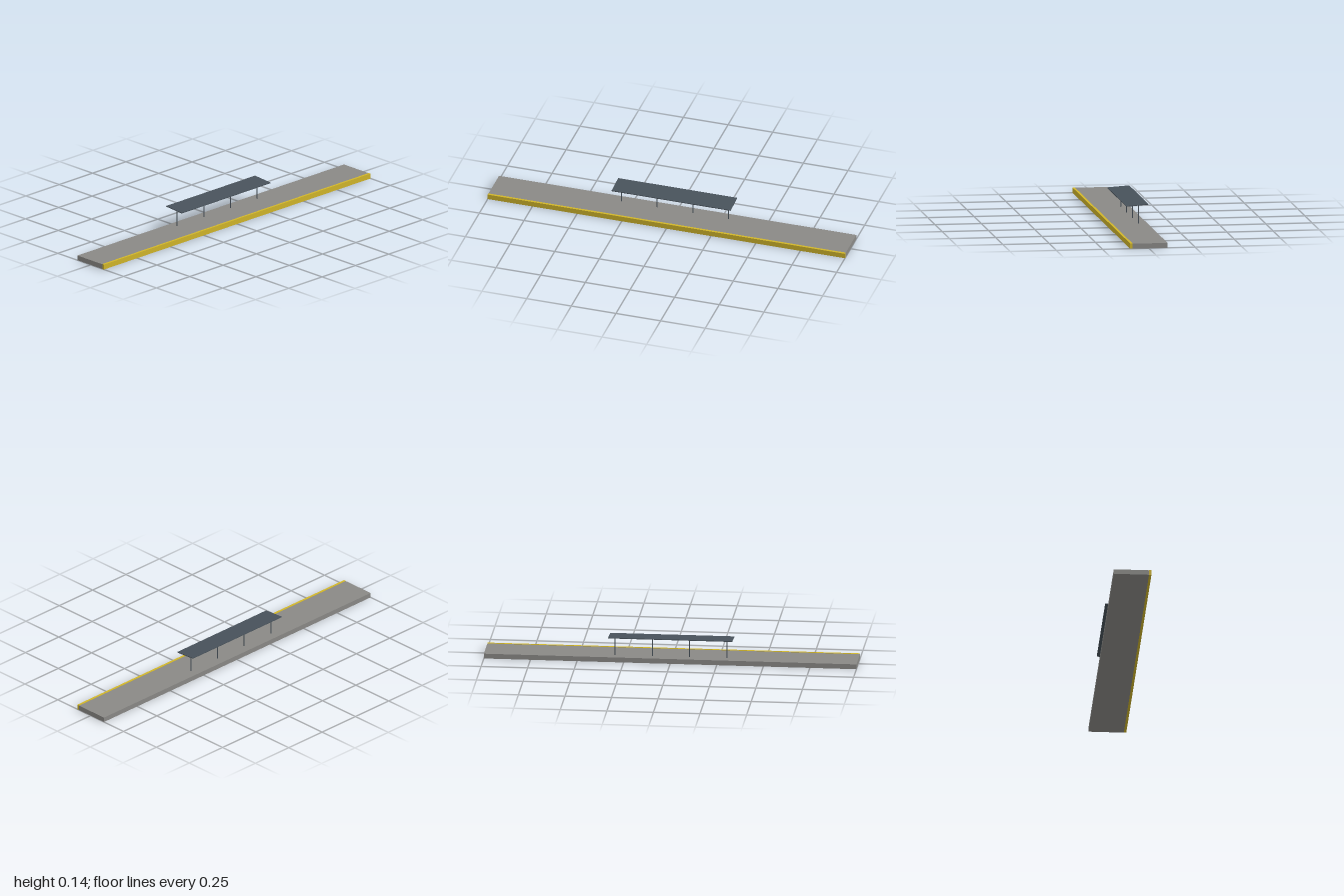
import * as THREE from 'three';

export function createModel() {
  const model = new THREE.Group();
  model.name = 'stationPlatform';

  const material = (name, color) => {
    const m = new THREE.MeshStandardMaterial({ color });
    m.name = name;
    return m;
  };
  const concrete = material('concrete grey', 0x8a8986);
  const yellow = material('safety yellow', 0xd0b52a);
  const steel = material('slate steel', 0x48525b);

  const add = (name, geometry, mat, x, y, z) => {
    const mesh = new THREE.Mesh(geometry, mat);
    mesh.name = name;
    mesh.position.set(x, y, z);
    model.add(mesh);
    return mesh;
  };

  // Long platform slab with a slightly raised safety edge along +x
  const edgeX = 0.088, slabTop = 0.0267, edgeTop = 0.028;
  add('platformSlab', new THREE.BoxGeometry(edgeX + 0.101, slabTop, 2), concrete,
    (edgeX - 0.101) / 2, slabTop / 2, 0);
  add('safetyEdge', new THREE.BoxGeometry(0.101 - edgeX, edgeTop, 2), yellow,
    (edgeX + 0.101) / 2, edgeTop / 2, 0);

  // Canopy roof, tilted down towards the safety edge
  const roof = add('canopyRoof', new THREE.BoxGeometry(0.119, 0.004, 0.666), steel,
    -0.0425, 0.13, 0);
  roof.rotation.z = -0.07;

  // Row of four slim posts
  const postTop = 0.13;
  const postGeometry = new THREE.CylinderGeometry(0.0027, 0.0027, postTop - slabTop, 8);
  [-0.3, -0.1, 0.1, 0.3].forEach((z) =>
    add('canopyPost', postGeometry, steel, -0.052, (postTop + slabTop) / 2, z));

  return model;
}
